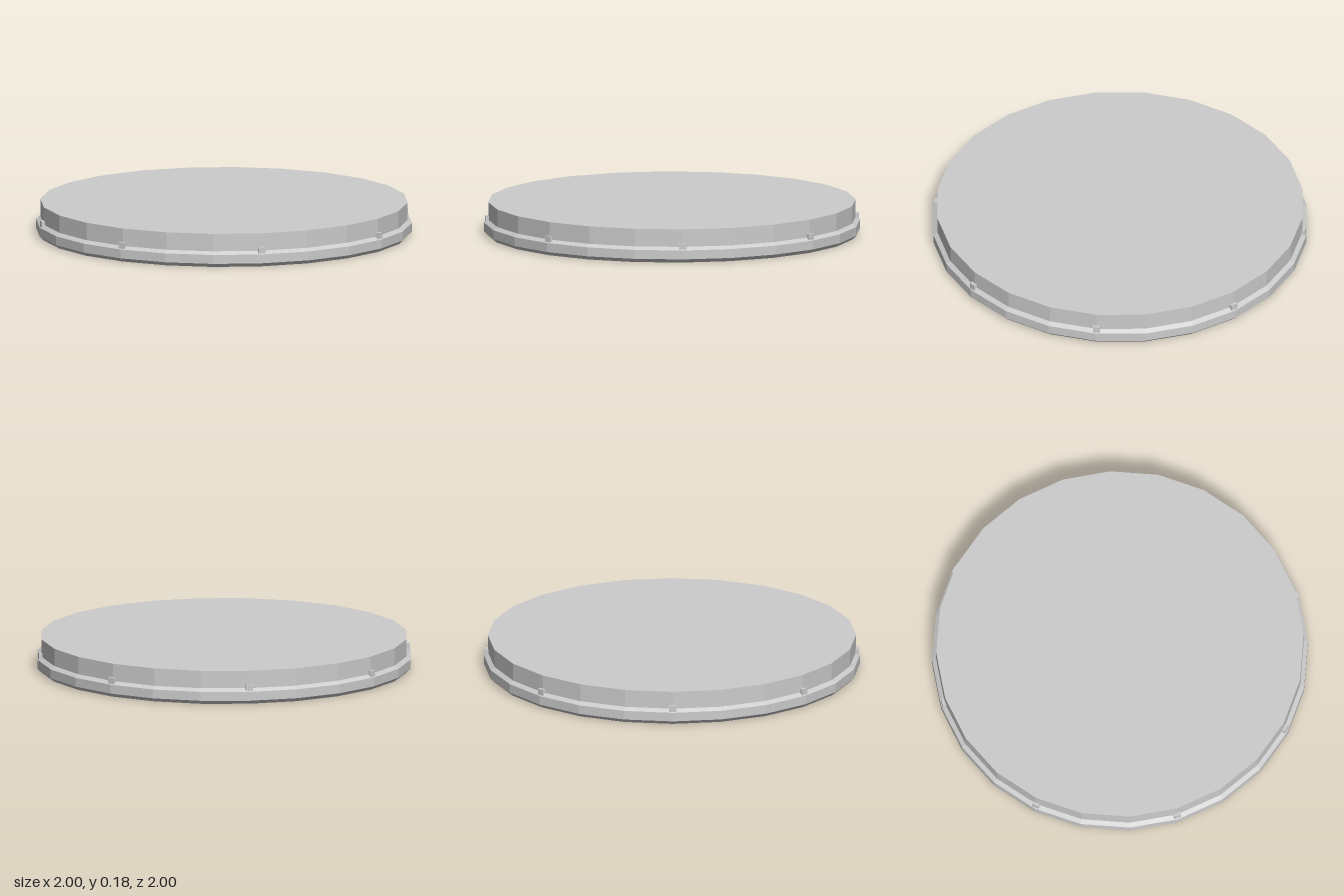
import * as THREE from 'three';

const SIDES = 24;
const TABS = 8;

export function createModel() {
  const group = new THREE.Group();
  const grey = new THREE.MeshStandardMaterial({ color: 0xcccccc, flatShading: true });
  grey.name = 'light grey';

  const addTurned = (name, points) => {
    const profile = points.map(([r, y]) => new THREE.Vector2(r, y));
    const mesh = new THREE.Mesh(new THREE.LatheGeometry(profile, SIDES), grey);
    mesh.name = name;
    group.add(mesh);
  };

  // Wide base ring with bevelled lower and upper edges
  addTurned('base', [[0, 0], [0.98, 0], [1, 0.02], [1, 0.068], [0.978, 0.084]]);

  // Slightly narrower upper disc with a flat top
  addTurned('upperDisc', [[0.978, 0.084], [0.978, 0.178], [0, 0.178]]);

  // Small locking tabs resting on the ledge at every third corner
  const tabGeometry = new THREE.BoxGeometry(0.038, 0.036, 0.04);
  tabGeometry.translate(0, 0.087, 0.974);
  for (let i = 0; i < TABS; i++) {
    const tab = new THREE.Mesh(tabGeometry, grey);
    tab.name = 'tab' + (i + 1);
    tab.rotation.y = (i / TABS) * Math.PI * 2;
    group.add(tab);
  }

  return group;
}
